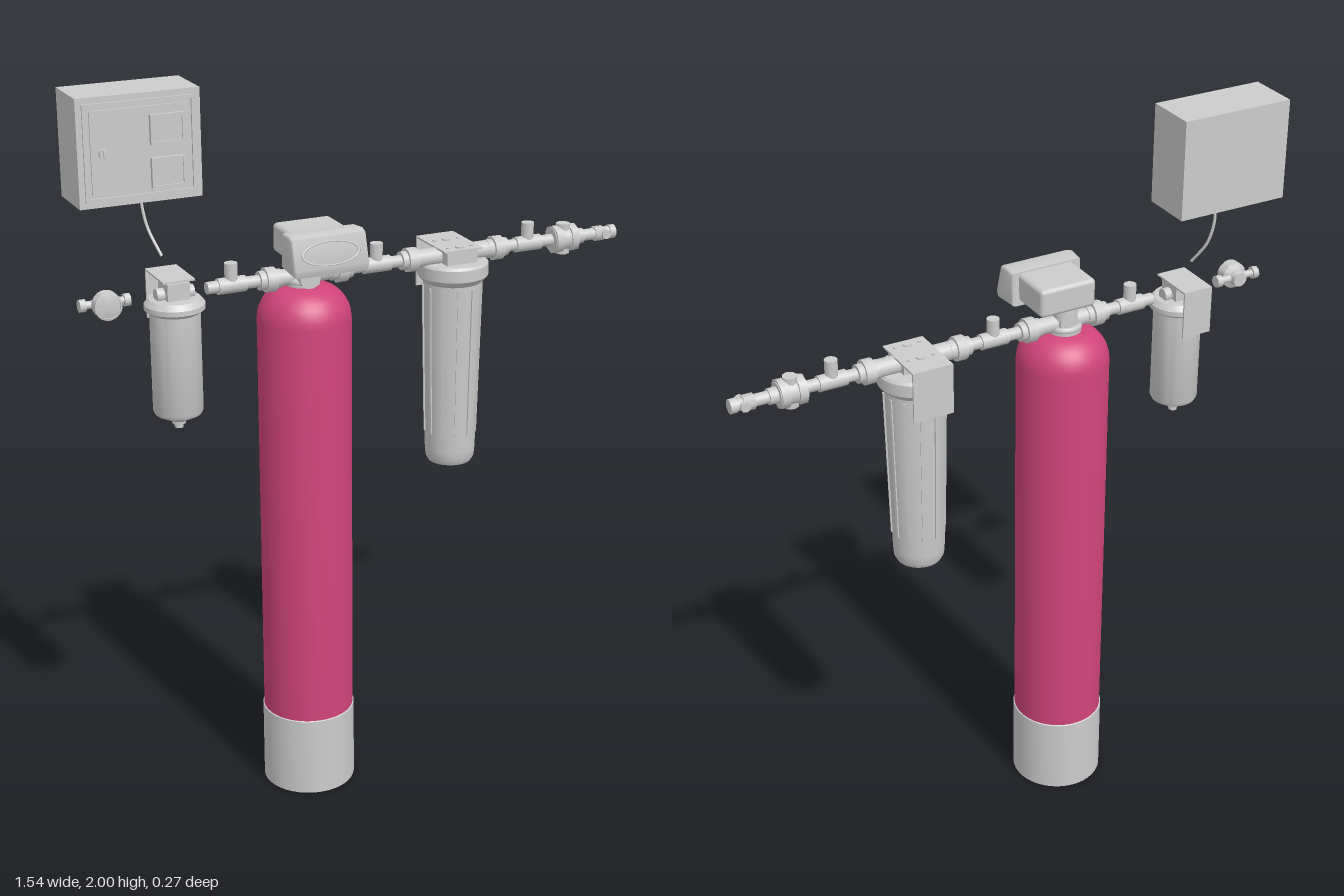
import * as THREE from 'three';
import { RoundedBoxGeometry } from 'three/addons/geometries/RoundedBoxGeometry.js';
import { toCreasedNormals } from 'three/addons/utils/BufferGeometryUtils.js';

const grey = new THREE.MeshStandardMaterial({ color: 0xcccccc, side: THREE.DoubleSide });
const red = new THREE.MeshStandardMaterial({ color: 0xd0447a, side: THREE.DoubleSide });
const PIPE_Y = 1.473, PIPE_Z = -0.008;

export function createModel() {
  const root = new THREE.Group();
  root.name = 'waterSoftenerSystem';

  const group = (name, x = 0, y = 0, z = 0) => {
    const g = new THREE.Group();
    g.name = name;
    g.position.set(x, y, z);
    root.add(g);
    return g;
  };
  const add = (parent, name, geo, x = 0, y = 0, z = 0, mat = grey) => {
    const m = new THREE.Mesh(geo, mat);
    m.name = name;
    m.position.set(x, y, z);
    parent.add(m);
    return m;
  };
  const box = (p, name, w, h, d, x, y, z) => add(p, name, new THREE.BoxGeometry(w, h, d), x, y, z);
  const lathe = (pts, seg = 36) =>
    toCreasedNormals(new THREE.LatheGeometry(pts.map(([r, y]) => new THREE.Vector2(r, y)), seg), 0.6);
  // Cylinder along a chosen axis, centred on the given point
  const rod = (p, name, axis, r, len, x, y, z, seg = 20) => {
    const g = new THREE.CylinderGeometry(r, r, len, seg);
    if (axis === 'x') g.rotateZ(Math.PI / 2);
    if (axis === 'z') g.rotateX(Math.PI / 2);
    return add(p, name, g, x, y, z);
  };
  const pipeX = (p, name, x0, x1, r, seg) =>
    rod(p, name, 'x', r, x1 - x0, (x0 + x1) / 2, PIPE_Y, PIPE_Z, seg);

  // Pressure tank with domed shoulder, standing in a hollow base
  const tank = group('tank', -0.168, 0, -0.002);
  const dome = [[0.124, 0.2], [0.124, 1.36]];
  for (let i = 1; i <= 8; i++) {
    const a = (i / 8) * Math.PI / 2;
    dome.push([0.04 + 0.084 * Math.cos(a), 1.36 + 0.09 * Math.sin(a)]);
  }
  add(tank, 'tankBody', lathe([...dome, [0.001, 1.45]], 40), 0, 0, 0, red);
  add(tank, 'tankBase', lathe([[0.001, 0.06], [0.093, 0.06], [0.093, 0.012], [0.1, 0.0],
    [0.127, 0], [0.127, 0.225], [0.122, 0.228]], 40));

  // Control valve on top of the tank
  const valve = group('controlValve', -0.168, 0, 0);
  add(valve, 'valveNeck', lathe([[0.045, 1.44], [0.045, 1.462], [0.034, 1.468], [0.034, 1.505], [0.03, 1.54]], 24), 0, 0, -0.008);
  add(valve, 'neckCollar', new THREE.TorusGeometry(0.038, 0.009, 8, 24).rotateX(Math.PI / 2), 0, 1.462, -0.008);
  rod(valve, 'bypassPort', 'z', 0.028, 0.08, 0, 1.476, 0.002);
  pipeX(valve, 'valvePorts', -0.075, 0.1, 0.022);
  add(valve, 'valveBody', new RoundedBoxGeometry(0.162, 0.078, 0.13, 3, 0.012), 0.022, 1.567, -0.003);
  const side = new THREE.Shape([[-0.055, 1.525], [-0.125, 1.519], [-0.129, 1.53], [-0.108, 1.602],
    [-0.095, 1.607], [-0.06, 1.603]].map(([x, y]) => new THREE.Vector2(x, y)));
  const panel = new THREE.ExtrudeGeometry(side, { depth: 0.188, bevelEnabled: true, bevelSize: 0.008, bevelThickness: 0.01, bevelSegments: 3 });
  panel.rotateY(Math.PI / 2).translate(-0.074, 0, 0);
  add(valve, 'displayPanel', toCreasedNormals(panel, 0.7));
  const oval = add(valve, 'displayOval', new THREE.TorusGeometry(0.03, 0.0018, 6, 36), 0.02, 1.566, 0.127);
  oval.scale.set(2.6, 1, 1);
  oval.rotation.x = -0.28;

  // Pipe runs, with tees, unions and collars
  const pipes = group('pipework');
  for (const [x0, x1] of [[-0.435, -0.28], [-0.06, 0.18], [0.37, 0.76]]) pipeX(pipes, 'pipe', x0, x1, 0.016);
  for (const x of [-0.367, 0.043, 0.497]) {
    pipeX(pipes, 'teeSleeve', x - 0.038, x + 0.038, 0.021);
    rod(pipes, 'teeBranch', 'y', 0.017, 0.06, x, 1.502, PIPE_Z);
  }
  for (const [x, s] of [[-0.262, 1], [-0.062, -1], [0.143, 1], [0.4, -1]]) {
    pipeX(pipes, 'unionNut', x - 0.014, x + 0.014, 0.033, 12);
    pipeX(pipes, 'unionCollar', x - 0.03, x + 0.03, 0.025);
    pipeX(pipes, 'unionTail', x + s * 0.03 - 0.015, x + s * 0.03 + 0.015, 0.02);
  }

  // Check valve and outlet at the far end
  const outlet = group('outletValve');
  pipeX(outlet, 'checkValveBody', 0.572, 0.645, 0.032, 24);
  for (const x of [0.585, 0.632]) pipeX(outlet, 'checkValveNut', x - 0.011, x + 0.011, 0.039, 8);
  rod(outlet, 'checkValveCap', 'y', 0.02, 0.084, 0.608, 1.474, PIPE_Z, 8);
  pipeX(outlet, 'outletSleeve', 0.645, 0.668, 0.021);
  pipeX(outlet, 'outletNut', 0.705, 0.735, 0.021, 6);
  pipeX(outlet, 'outletEnd', 0.752, 0.77, 0.019);
  rod(outlet, 'outletCock', 'z', 0.013, 0.05, 0.735, PIPE_Y, PIPE_Z);

  // L-shaped wall bracket
  const bracket = (p, w, z0, z1, yTop, yLow) => {
    box(p, 'bracketTop', w, 0.005, z1 - z0, 0, yTop - 0.0025, (z0 + z1) / 2);
    box(p, 'bracketBack', w, yTop - yLow, 0.005, 0, (yTop + yLow) / 2, z0 + 0.0025);
  };

  // Tall cartridge filter with ribbed bowl
  const big = group('cartridgeFilter', 0.272, 0, -0.012);
  add(big, 'filterBowl', lathe([[0.001, 0.877], [0.048, 0.877], [0.06, 0.882], [0.067, 0.895],
    [0.069, 0.92], [0.08, 1.41], [0.001, 1.41]]));
  for (let i = 0; i < 12; i++) {
    const a = ((i + 0.5) / 12) * Math.PI * 2;
    const pivot = new THREE.Group();
    pivot.name = 'bowlRib';
    pivot.rotation.y = a;
    big.add(pivot);
    const rib = box(pivot, 'rib', 0.007, 0.42, 0.008, 0, 1.18, 0.0745);
    rib.rotation.x = 0.0224;
  }
  add(big, 'filterCap', lathe([[0.08, 1.4], [0.09, 1.41], [0.096, 1.418], [0.096, 1.45], [0.09, 1.457], [0.001, 1.457]]));
  box(big, 'filterHead', 0.09, 0.04, 0.09, 0, 1.475, 0.01);
  pipeX(big, 'filterPorts', -0.1, 0.1, 0.024).position.z = 0.004;
  bracket(big, 0.112, -0.108, 0.062, 1.499, 1.36);
  for (const z of [-0.04, 0.037]) {
    rod(big, 'ventButton', 'y', 0.012, 0.008, 0, 1.499, z);
    for (const x of [-0.035, 0.035]) rod(big, 'bracketScrew', 'y', 0.005, 0.005, x, 1.5, z, 8);
  }

  // Small prefilter with conical drain
  const small = group('prefilter', -0.522, 0, -0.006);
  add(small, 'prefilterBowl', lathe([[0.001, 1.112], [0.012, 1.112], [0.012, 1.128], [0.02, 1.132],
    [0.06, 1.152], [0.065, 1.162], [0.065, 1.43], [0.001, 1.43]]));
  rod(small, 'drainNut', 'y', 0.018, 0.01, 0, 1.127, 0, 6);
  add(small, 'prefilterCap', lathe([[0.065, 1.425], [0.078, 1.435], [0.078, 1.448], [0.066, 1.462], [0.001, 1.466]]));
  box(small, 'prefilterHead', 0.06, 0.045, 0.07, 0, 1.485, 0);
  pipeX(small, 'prefilterPorts', -0.05, 0.05, 0.018).position.z = 0;
  bracket(small, 0.085, -0.095, 0.04, 1.517, 1.385);

  // Pressure gauge with two side stubs
  const gauge = group('pressureGauge', -0.706, PIPE_Y, 0);
  add(gauge, 'gaugeCase', lathe([[0.001, -0.03], [0.02, -0.03], [0.022, -0.008], [0.036, 0], [0.036, 0.028],
    [0.031, 0.03], [0.031, 0.025], [0.001, 0.025]], 28).rotateX(Math.PI / 2));
  rod(gauge, 'gaugeStubs', 'x', 0.01, 0.12, 0, 0, -0.008);
  for (const s of [-1, 1]) rod(gauge, 'gaugeNut', 'x', 0.017, 0.016, s * 0.058, 0, -0.008, 8);

  // Controller cabinet with framed door, lock and two displays
  const cab = group('controllerCabinet', -0.613, 1.865, 0);
  box(cab, 'cabinetBody', 0.315, 0.27, 0.145, 0, 0, -0.031);
  const frame = (name, w, h, t, d, x, y, z) => {
    for (const s of [-1, 1]) {
      box(cab, name, w, t, d, x, y + s * (h - t) / 2, z);
      box(cab, name, t, h - 2 * t, d, x + s * (w - t) / 2, y, z);
    }
  };
  frame('doorFrame', 0.285, 0.24, 0.009, 0.008, 0, 0, 0.043);
  box(cab, 'doorPanel', 0.25, 0.205, 0.006, 0, 0, 0.043);
  for (const [y, h] of [[0.045, 0.074], [-0.062, 0.076]]) {
    box(cab, 'display', 0.075, h - 0.014, 0.01, 0.068, y, 0.048);
    frame('displayFrame', 0.088, h, 0.007, 0.014, 0.068, y, 0.05);
  }
  rod(cab, 'doorLock', 'z', 0.013, 0.012, -0.093, -0.002, 0.049, 16);
  box(cab, 'lockKey', 0.006, 0.02, 0.008, -0.093, -0.002, 0.055);

  // Cable hanging below the cabinet
  const curve = new THREE.CatmullRomCurve3([[-0.573, 1.735, -0.083], [-0.572, 1.69, -0.082],
    [-0.563, 1.63, -0.068], [-0.543, 1.567, -0.03]].map((p) => new THREE.Vector3(...p)));
  add(root, 'cable', new THREE.TubeGeometry(curve, 20, 0.004, 8));

  return root;
}
